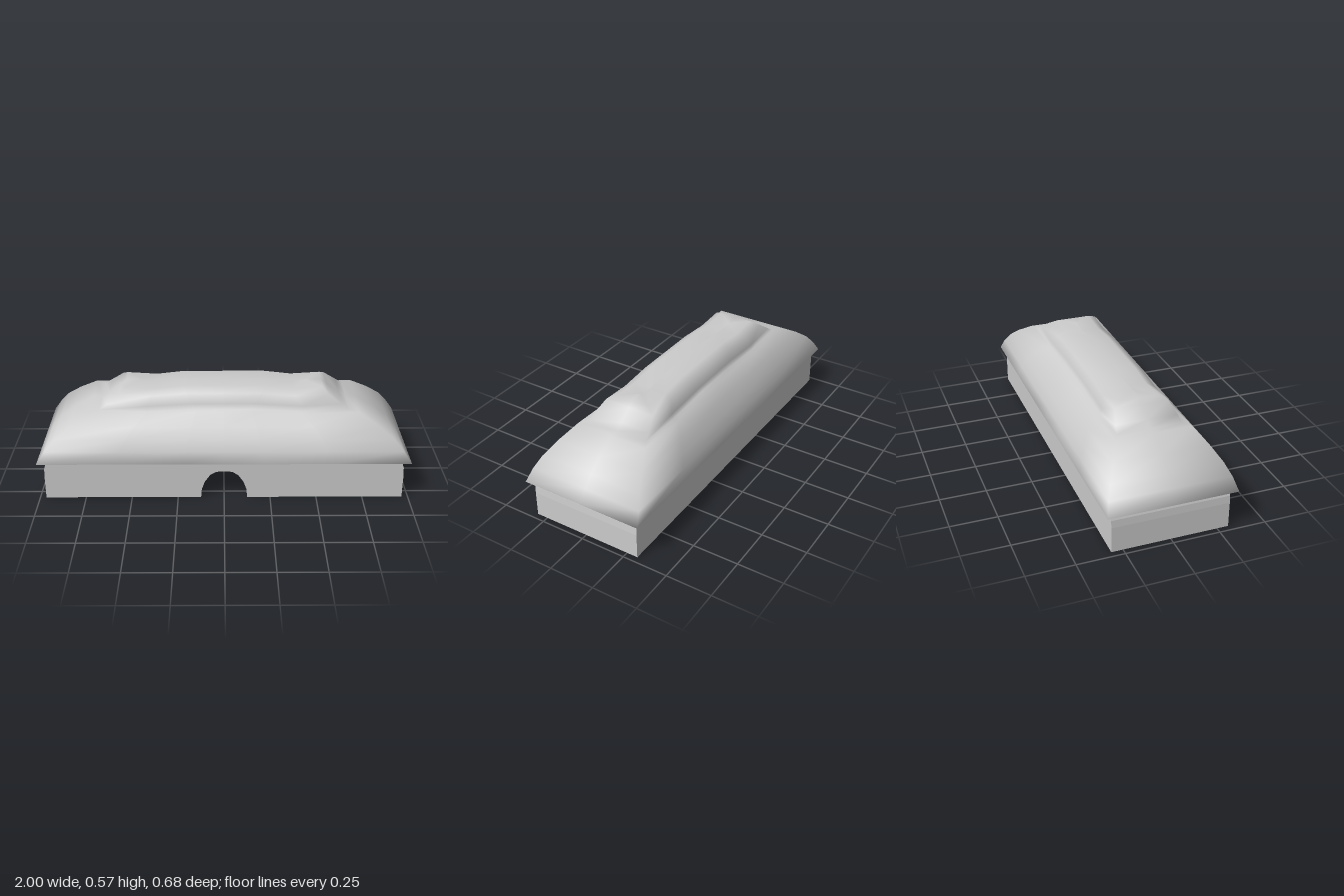
import * as THREE from 'three';

const material = new THREE.MeshStandardMaterial({ color: 0xcccccc, side: THREE.DoubleSide });

function addMesh(parent, name, geometry) {
  const mesh = new THREE.Mesh(geometry, material);
  mesh.name = name;
  parent.add(mesh);
  return mesh;
}

// Skin over closed rings of equal point counts
function loft(rings) {
  const n = rings[0].length;
  const index = [];
  for (let i = 0; i < rings.length - 1; i++) {
    for (let j = 0; j < n; j++) {
      const k = (j + 1) % n;
      const a = i * n + j, b = i * n + k, c = a + n, d = b + n;
      index.push(a, b, d, a, d, c);
    }
  }
  const geometry = new THREE.BufferGeometry();
  geometry.setAttribute('position', new THREE.Float32BufferAttribute(rings.flat(2), 3));
  geometry.setIndex(index);
  geometry.computeVertexNormals();
  return geometry;
}

// Rectangular ring whose long sides sag at x = dip and rise again at x = crest
function ring(x, z, y, dip = x * 0.58, crest = x * 0.21, sag = 0, rise = 0) {
  const half = [[-x, y], [-dip, y - sag], [-crest, y + rise], [0, y + rise],
    [crest, y + rise], [dip, y - sag], [x, y]];
  const front = half.map(([px, py]) => [px, py, z]);
  const back = half.map(([px, py]) => [-px, py, -z]);
  return [...front, [x, y, 0], ...back, [-x, y, 0]];
}

function slab(points, depth) {
  const shape = new THREE.Shape(points.map(([x, y]) => new THREE.Vector2(x, y)));
  return new THREE.ExtrudeGeometry(shape, { depth, bevelEnabled: false });
}

const mirror = points => points.map(([x, y]) => [-x, y]).reverse();

export function createModel() {
  const group = new THREE.Group();
  group.name = 'longhouse';

  // Thin walls, open to the roof space; end walls curve inward at the top
  const wallZ = 0.311, thickness = 0.02;
  const side = [[0.967, 0], [0.967, 0.14], [0.964, 0.18], [0.95, 0.225], [0.925, 0.268]];
  const profile = [...side, ...mirror(side)];
  const walls = new THREE.Group();
  walls.name = 'walls';
  group.add(walls);

  const innerSide = side.map(([x, y]) => [x - thickness, y]).reverse();
  const endWall = slab([...side, ...innerSide], 2 * wallZ).translate(0, 0, -wallZ);
  addMesh(walls, 'leftEndWall', endWall);
  addMesh(walls, 'rightEndWall', endWall).rotation.y = Math.PI;

  // Front wall with an arched doorway, plain back wall
  const arch = [[-0.125, 0], [-0.121, 0.05], [-0.105, 0.095], [-0.075, 0.138], [-0.045, 0.156], [-0.02, 0.161]];
  const frontWall = addMesh(walls, 'frontWall', slab([...profile, ...arch, ...mirror(arch)], thickness));
  frontWall.position.z = wallZ - thickness;
  addMesh(walls, 'backWall', slab(profile, thickness)).position.z = -wallZ;

  // Roof: bulging hipped skirt, narrow ledge, raised cap with a wavy ridge
  const tiers = [
    [0.955, 0.322, 0.285],
    [0.905, 0.295, 0.343],
    [0.825, 0.256, 0.402],
    [0.72, 0.205, 0.464, 0.42, 0.15, 0.012, 0.002],
    [0.67, 0.174, 0.463, 0.42, 0.15, 0.012, 0.002],
    [0.63, 0.166, 0.49, 0.42, 0.17, 0.012, 0.003],
    [0.56, 0.144, 0.54, 0.39, 0.2, 0.01, 0.005],
    [0.53, 0.097, 0.563, 0.37, 0.22, 0.01, 0.007],
    [0.45, 0, 0.563, 0.37, 0.22, 0.01, 0.007],
  ];
  // The lining follows the skin a little way inside, and the eave joins the two
  const gap = 0.015;
  const lining = tiers.map(([x, z, y, ...wave]) => ring(x - gap, Math.max(z - gap, 0), y - gap, ...wave));
  const skin = tiers.map(tier => ring(...tier));
  const eave = [ring(0.951, 0.311, 0.222), ring(1.0, 0.34, 0.22)];
  addMesh(group, 'roof', loft([...lining.reverse(), ...eave, ...skin]));

  return group;
}
